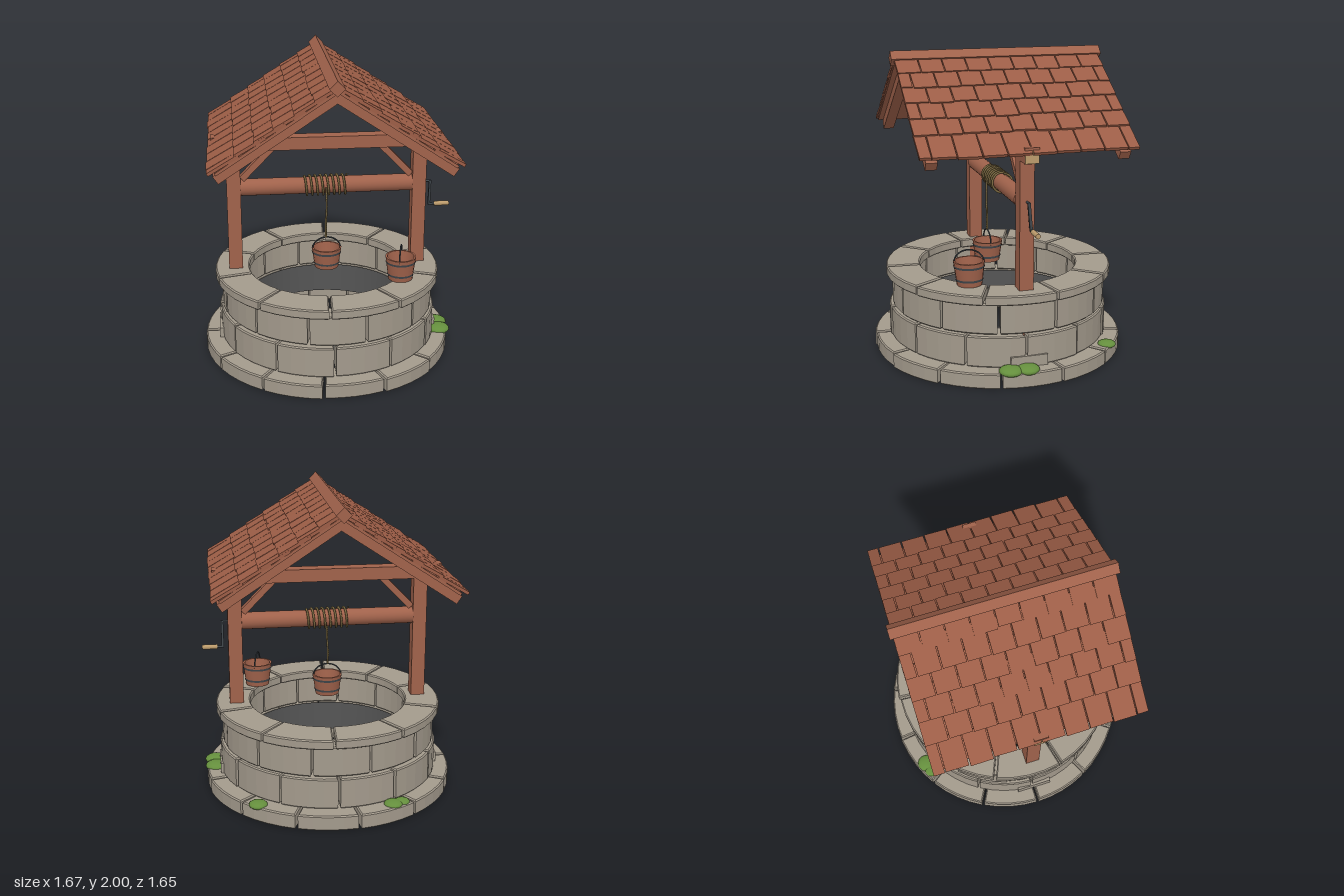
import * as THREE from 'three';
import { toCreasedNormals } from 'three/addons/utils/BufferGeometryUtils.js';

const mat = (name, color, extra = {}) => new THREE.MeshStandardMaterial({ name, color, ...extra });

export function createModel() {
  const M = {
    stone: mat('stone', 0xa39a8c),
    liner: mat('dark lining', 0x555555, { side: THREE.DoubleSide }),
    wood: mat('wood', 0xa0624b, { side: THREE.DoubleSide }),
    shingle: mat('roof shingle', 0x9c5d46),
    endGrain: mat('pale wood', 0xbd9c6c),
    metal: mat('iron', 0x3f464b),
    rope: mat('rope', 0x7c6a42),
    moss: mat('moss', 0x658f3d),
  };
  const model = new THREE.Group();
  model.name = 'well';

  // small seeded random, returns -1..1
  let seed = 7;
  const rnd = () => ((seed = (seed * 16807) % 2147483647) / 2147483647) * 2 - 1;

  const add = (parent, name, geo, material, x = 0, y = 0, z = 0) => {
    const m = new THREE.Mesh(geo, material);
    m.name = name;
    m.position.set(x, y, z);
    parent.add(m);
    return m;
  };
  const box = (parent, name, w, h, d, material, x, y, z) =>
    add(parent, name, new THREE.BoxGeometry(w, h, d), material, x, y, z);
  const group = (name, parent = model) => {
    const g = new THREE.Group();
    g.name = name;
    parent.add(g);
    return g;
  };

  // one curved stone; angles run from +z towards +x
  const stone = (a0, a1, rIn, rOut, h) => {
    const s = new THREE.Shape(), n = 4, b = 0.008;
    const at = (r, i) => {
      const a = a0 + ((a1 - a0) * i) / n;
      return [r * Math.sin(a), -r * Math.cos(a)];
    };
    s.moveTo(...at(rOut, 0));
    for (let i = 1; i <= n; i++) s.lineTo(...at(rOut, i));
    for (let i = n; i >= 0; i--) s.lineTo(...at(rIn, i));
    const g = new THREE.ExtrudeGeometry(s, {
      depth: h - 2 * b, bevelSize: b, bevelThickness: b, bevelOffset: -b, bevelSegments: 1,
    });
    return g.translate(0, 0, b).rotateX(-Math.PI / 2);
  };

  // stone courses: name, count, first joint in degrees, radii, bottom, height
  [
    ['baseCourse', 13, -7, 0.6, 0.83, 0, 0.1],
    ['lowerCourse', 12, -1.5, 0.57, 0.728, 0.1, 0.203],
    ['upperCourse', 12, 15, 0.575, 0.712, 0.312, 0.2],
    ['capCourse', 10, -4, 0.525, 0.752, 0.512, 0.063],
  ].forEach(([name, n, start, rIn, rOut, y, h]) => {
    const ring = group(name), step = (2 * Math.PI) / n;
    for (let i = 0; i < n; i++) {
      const a = THREE.MathUtils.degToRad(start) + i * step, gap = 0.008 / rOut;
      add(ring, 'stone', stone(a + gap, a + step - gap, rIn, rOut + rnd() * 0.006, h), M.stone, 0, y, 0);
    }
  });
  add(model, 'innerLining', new THREE.CylinderGeometry(0.562, 0.562, 0.21, 48, 1, true), M.liner, 0, 0.205, 0);

  // posts, footings and braces on both sides
  for (const s of [-1, 1]) {
    box(model, 'post', 0.092, 1.29, 0.092, M.wood, s * 0.615, 0.755, 0);
    box(model, 'postFooting', 0.2, 0.07, 0.24, M.stone, s * 0.638, 0.137, 0);
    const brace = box(model, 'brace', 0.3, 0.042, 0.05, M.wood, s * 0.455, 1.305, 0);
    brace.rotation.z = -s * 0.8;
    box(model, 'beamEnd', 0.006, 0.078, 0.088, M.endGrain, s * 0.755, 1.433, 0);
  }
  box(model, 'tieBeam', 1.506, 0.084, 0.092, M.wood, 0, 1.436, 0);
  for (const s of [-1, 1]) box(model, 'beamTopEnd', 0.04, 0.03, 0.09, M.wood, s * 0.735, 1.475, 0);

  // roof: each side is laid out flat, with x running down the slope
  const pitch = 0.585;
  for (const s of [1, -1]) {
    const side = group(s > 0 ? 'roofLeft' : 'roofRight');
    const slope = group('slope', side);
    side.rotation.y = s > 0 ? 0 : Math.PI;
    slope.position.y = 1.952;
    slope.rotation.z = -pitch;
    box(slope, 'roofDeck', 0.88, 0.018, 1.34, M.wood, 0.44, -0.019, 0);
    for (const z of [-0.6, 0, 0.6])
      box(slope, 'rafter', 0.9, 0.058, 0.07, M.wood, 0.455, -0.057, z);
    for (let row = 0; row < 6; row++) {
      const end = row === 5 ? 0.915 : 0.16 + 0.14 * row;
      const len = row === 0 ? 0.16 : 0.215, w = 1.36 / 9, half = row % 2 === 1;
      for (let i = 0; i < (half ? 10 : 9); i++) {
        const z0 = Math.max(-0.68, -0.68 + (i - (half ? 0.5 : 0)) * w);
        const z1 = Math.min(0.68, -0.68 + (i + (half ? 0.5 : 1)) * w);
        const tile = box(slope, 'shingle', len, 0.02, z1 - z0 - 0.007, M.shingle,
          end - len / 2 + rnd() * 0.006, 0.004, (z0 + z1) / 2);
        tile.rotation.set(0, rnd() * 0.015, 0.06 + rnd() * 0.01);
      }
    }
  }
  const ridge = box(model, 'ridgeBeam', 0.068, 0.068, 1.395, M.wood, -0.007, 1.951, 0);
  ridge.rotation.z = Math.PI / 4;

  // windlass with wound rope
  const axle = add(model, 'axle', new THREE.CylinderGeometry(0.056, 0.056, 1.14, 24), M.wood, 0, 1.135, 0);
  axle.rotation.z = Math.PI / 2;
  const tube = (name, pts, r, material, parent = model, segs = 24) =>
    add(parent, name, new THREE.TubeGeometry(new THREE.CatmullRomCurve3(
      pts.map((p) => new THREE.Vector3(...p))), segs, r, 6), material);
  const coil = [];
  for (let i = 0; i <= 96; i++) {
    const a = (i / 96) * 8 * 2 * Math.PI;
    coil.push([-0.148 + 0.29 * (i / 96), 1.135 + 0.066 * Math.cos(a), 0.066 * Math.sin(a)]);
  }
  tube('ropeCoil', coil, 0.0075, M.rope, model, 240);
  tube('hangingRope', [[-0.01, 1.14, 0.07], [-0.006, 1.0, 0.073], [-0.012, 0.88, 0.068], [-0.01, 0.785, 0.068]],
    0.007, M.rope);

  // crank
  const rod = (name, x0, x1, y, z, r, material) => {
    const m = add(model, name, new THREE.CylinderGeometry(r, r, x1 - x0, 12), material, (x0 + x1) / 2, y, z);
    m.rotation.z = Math.PI / 2;
  };
  rod('crankAxle', 0.65, 0.704, 1.137, 0, 0.008, M.metal);
  const arm = box(model, 'crankArm', 0.015, 0.18, 0.018, M.metal, 0.697, 1.052, -0.008);
  arm.rotation.x = 0.09;
  rod('crankPin', 0.69, 0.74, 0.968, -0.016, 0.008, M.metal);
  rod('crankHandle', 0.732, 0.832, 0.968, -0.016, 0.016, M.endGrain);

  // buckets
  const bucket = (name, x, y, z, turn, h) => {
    const b = group(name);
    b.position.set(x, y, z);
    b.rotation.y = turn;
    const profile = [[0, 0], [0.08, 0], [0.1, h], [0.088, h], [0.072, 0.02], [0, 0.02]]
      .map((p) => new THREE.Vector2(...p));
    add(b, 'bucketBody', toCreasedNormals(new THREE.LatheGeometry(profile, 20), 0.6), M.wood);
    for (const t of [0.25, 0.8]) {
      const r = 0.0835 + 0.02 * t;
      add(b, 'hoop', new THREE.CylinderGeometry(r + 0.001, r - 0.001, 0.014, 20, 1, true), M.metal, 0, h * t, 0);
    }
    const arc = [];
    for (let i = 0; i <= 10; i++) {
      const a = (Math.PI * i) / 10;
      arc.push([0.095 * Math.cos(a), h - 0.015 + 0.085 * Math.sin(a), 0]);
    }
    tube('bucketHandle', arc, 0.005, M.metal, b);
    return b;
  };
  bucket('hangingBucket', -0.007, 0.58, 0.068, 0, 0.137);
  bucket('standingBucket', 0.455, 0.578, 0.31, Math.PI / 2 - 0.25, 0.155).rotation.z = 0.02;

  // moss clumps on the base course
  for (const [x, z, r] of [[0.765, 0.13, 0.075], [0.765, 0.02, 0.075], [0.52, -0.6, 0.06], [-0.33, -0.7, 0.06], [-0.39, -0.675, 0.05]])
    add(model, 'moss', new THREE.SphereGeometry(r, 16, 10), M.moss, x, 0.1, z).scale.y = 0.4;

  return model;
}
